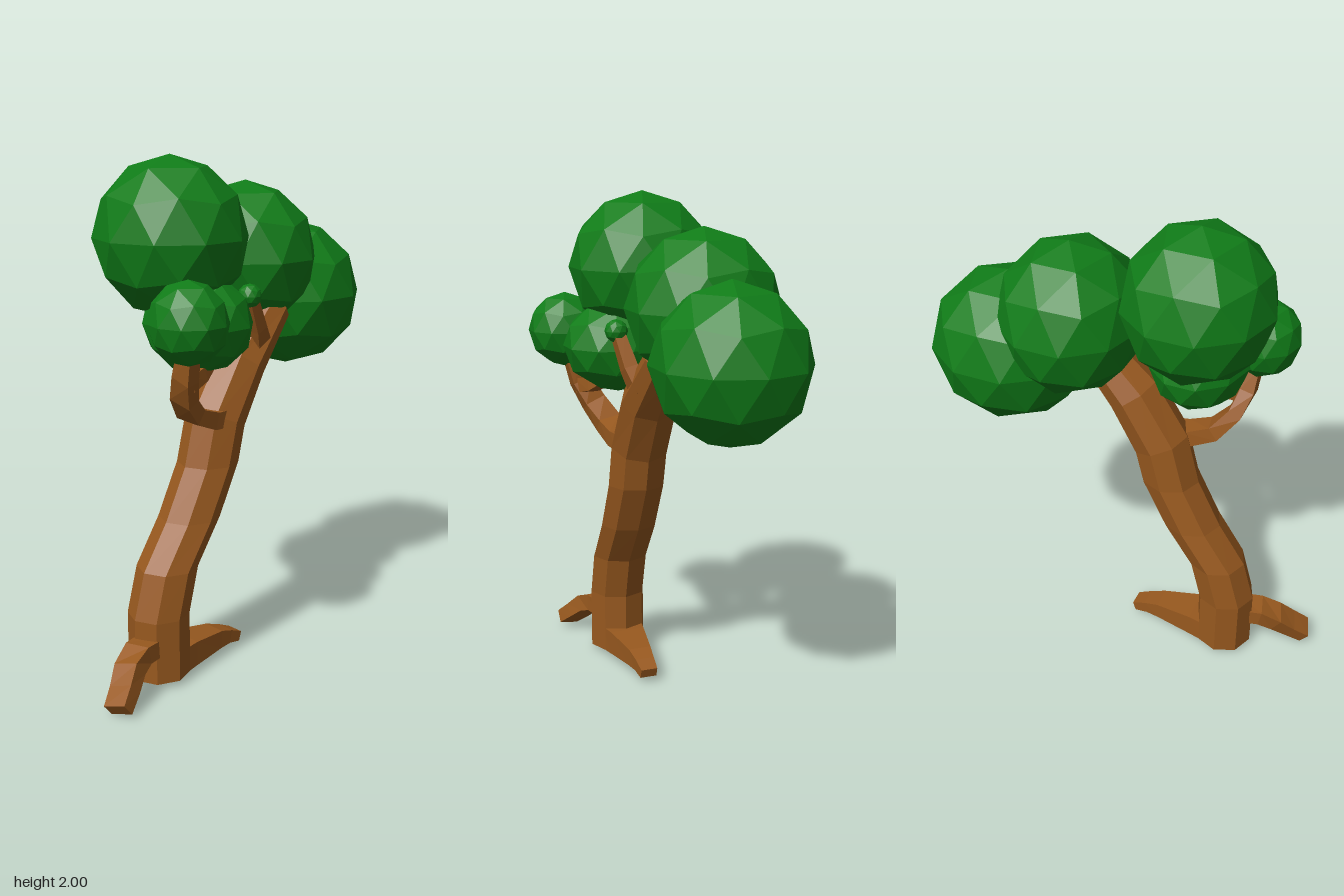
import * as THREE from 'three';

const bark = new THREE.MeshStandardMaterial({ color: 0x98591f, flatShading: true });
const leaf = new THREE.MeshStandardMaterial({ color: 0x107c18, flatShading: true });

// Sweeps a faceted section along rings of [x, y, z, halfWidth, halfHeight, backwardTilt?]
function limb(name, rings, sides) {
  const turn = sides === 4 ? Math.PI / 4 : 0;
  const grow = sides === 4 ? Math.SQRT2 : 1;
  const centres = rings.map(r => new THREE.Vector3(r[0], r[1], r[2]));
  const pos = [], index = [];
  rings.forEach(([, , , w, h, tilt], i) => {
    const t = tilt !== undefined
      ? new THREE.Vector3(0, Math.cos(tilt), -Math.sin(tilt))
      : centres[Math.min(i + 1, rings.length - 1)].clone().sub(centres[Math.max(i - 1, 0)]).normalize();
    const u = new THREE.Vector3(1, 0, 0).addScaledVector(t, -t.x).normalize();
    const v = t.clone().cross(u);
    for (let s = 0; s < sides; s++) {
      const a = turn + s / sides * Math.PI * 2;
      const p = centres[i].clone()
        .addScaledVector(u, Math.cos(a) * w * grow)
        .addScaledVector(v, Math.sin(a) * h * grow);
      pos.push(p.x, p.y, p.z);
    }
  });
  for (let i = 0; i < rings.length - 1; i++) {
    for (let s = 0; s < sides; s++) {
      const a = i * sides + s, b = i * sides + (s + 1) % sides;
      index.push(a, b, b + sides, a, b + sides, a + sides);
    }
  }
  // End caps
  const last = (rings.length - 1) * sides;
  for (let s = 1; s < sides - 1; s++) {
    index.push(0, s + 1, s, last, last + s, last + s + 1);
  }
  const indexed = new THREE.BufferGeometry();
  indexed.setAttribute('position', new THREE.Float32BufferAttribute(pos, 3));
  indexed.setIndex(index);
  const geo = indexed.toNonIndexed();
  geo.computeVertexNormals();
  const mesh = new THREE.Mesh(geo, bark);
  mesh.name = name;
  return mesh;
}

// Faceted leaf ball standing on one of its corners
function foliage(name, centre, radii) {
  const geo = new THREE.IcosahedronGeometry(1, 1);
  geo.rotateZ(-Math.atan(2 / (1 + Math.sqrt(5))));
  geo.scale(...radii);
  geo.computeVertexNormals();
  const mesh = new THREE.Mesh(geo, leaf);
  mesh.name = name;
  mesh.position.set(...centre);
  return mesh;
}

export function createModel() {
  const tree = new THREE.Group();
  tree.name = 'leaningTree';

  // Leaning eight-sided trunk
  tree.add(limb('trunk', [
    [0.035, 0.02, 0.415, 0.12, 0.12, 0],
    [0.035, 0.27, 0.415, 0.12, 0.12, 0],
    [0.035, 0.45, 0.367, 0.12, 0.118, 0],
    [0.035, 0.625, 0.25, 0.12, 0.12, 0],
    [0.035, 0.825, 0.15, 0.12, 0.12, 0],
    [0.035, 0.995, 0.108, 0.12, 0.117, 0.4],
    [0.035, 1.2, -0.012, 0.118, 0.107, 0.616],
    [0.035, 1.4, -0.2, 0.085, 0.08, 0.75],
  ], 8));

  // Roots
  tree.add(limb('frontRoot', [
    [0.06, 0.165, 0.45, 0.055, 0.034],
    [0.085, 0.163, 0.56, 0.052, 0.036],
    [0.11, 0.13, 0.625, 0.05, 0.036],
    [0.145, 0.078, 0.68, 0.048, 0.032],
    [0.177, 0.03, 0.74, 0.046, 0.029],
  ], 4));
  tree.add(limb('backRoot', [
    [0.035, 0.07, 0.36, 0.09, 0.052],
    [0.035, 0.072, 0.28, 0.075, 0.05],
    [0.035, 0.068, 0.12, 0.048, 0.037],
    [0.035, 0.058, 0.06, 0.04, 0.027],
    [0.035, 0.04, 0.003, 0.035, 0.02],
  ], 4));

  // Front branch with its side twig, and the twig near the top
  tree.add(limb('frontBranch', [
    [0.08, 1.01, 0.13, 0.05, 0.034],
    [0.09, 1.015, 0.2, 0.05, 0.034],
    [0.105, 1.055, 0.3, 0.05, 0.031],
    [0.145, 1.13, 0.37, 0.046, 0.028],
    [0.19, 1.22, 0.405, 0.042, 0.028],
    [0.22, 1.32, 0.415, 0.036, 0.026],
  ], 4));
  tree.add(limb('sideTwig', [
    [0.19, 1.2, 0.4, 0.03, 0.03],
    [0.165, 1.22, 0.31, 0.028, 0.028],
    [0.13, 1.27, 0.21, 0.02, 0.02],
  ], 4));
  tree.add(limb('topTwig', [
    [0.09, 1.25, -0.08, 0.035, 0.04],
    [0.125, 1.34, -0.03, 0.028, 0.028],
    [0.15, 1.47, 0.035, 0.022, 0.022],
  ], 4));

  // Crown
  const balls = [
    ['frontCrown', [-0.035, 1.7, 0.267], [0.299, 0.3, 0.288]],
    ['middleCrown', [-0.11, 1.583, -0.2], [0.3, 0.301, 0.28]],
    ['backCrown', [-0.115, 1.41, -0.452], [0.3, 0.305, 0.313]],
    ['lowerFoliage', [0.08, 1.39, 0.24], [0.225, 0.19, 0.195]],
    ['branchFoliage', [0.245, 1.435, 0.437], [0.152, 0.154, 0.143]],
    ['twigBud', [0.153, 1.477, 0.04], [0.046, 0.046, 0.046]],
  ];
  for (const ball of balls) tree.add(foliage(...ball));

  return tree;
}
